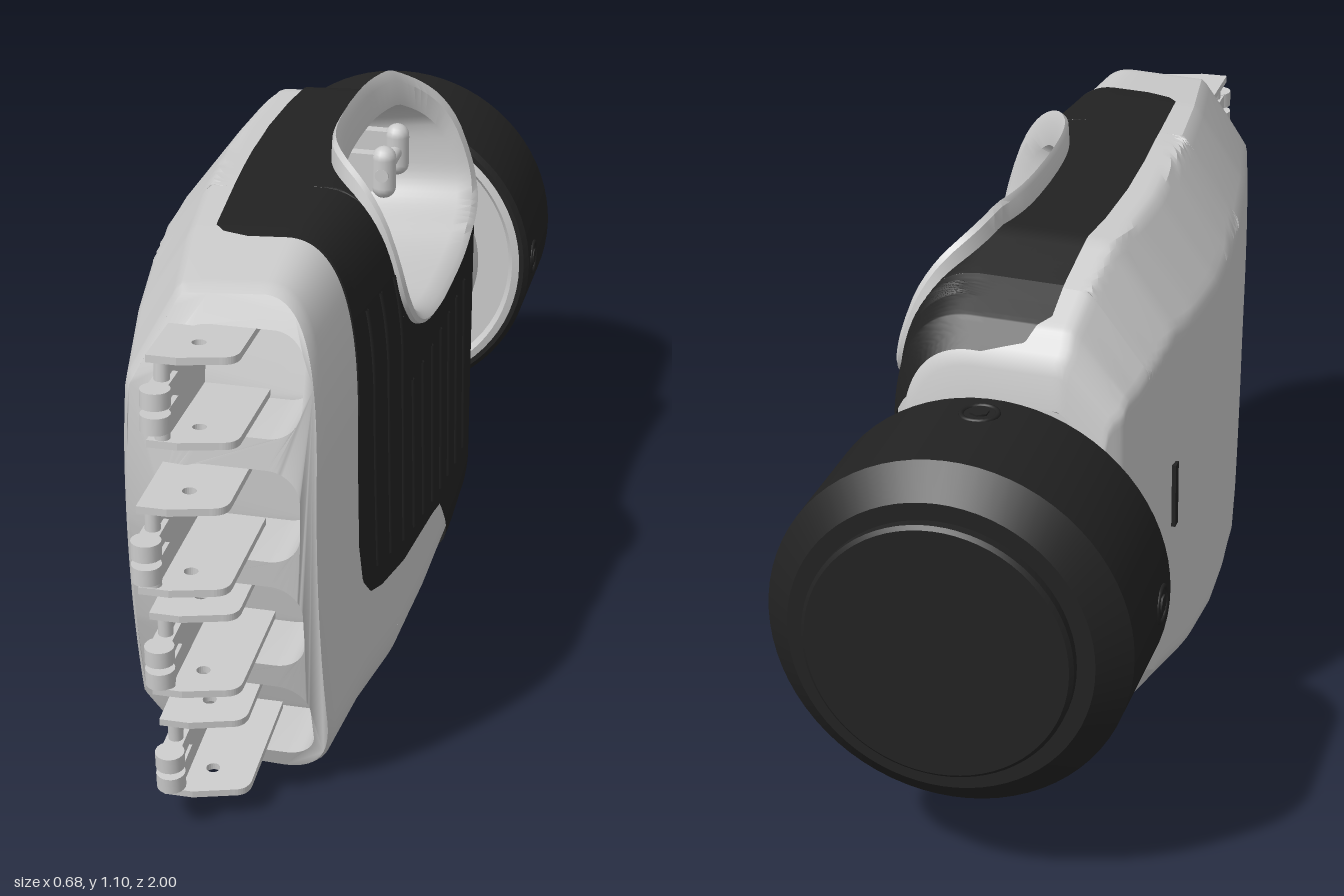
import * as THREE from 'three';
import { toCreasedNormals } from 'three/addons/utils/BufferGeometryUtils.js';

const grey = new THREE.MeshStandardMaterial({ color: 0xcccccc, side: THREE.DoubleSide });
const black = new THREE.MeshStandardMaterial({ color: 0x222222, side: THREE.DoubleSide });
const V = (x, y, z) => new THREE.Vector3(x, y, z);
const lerp = THREE.MathUtils.lerp;

// Piecewise interpolation of [z, value] pairs, z falling
function table(rows) {
  return z => {
    let i = 0;
    while (i < rows.length - 2 && z < rows[i + 1][0]) i++;
    const [a, va] = rows[i], [b, vb] = rows[i + 1];
    return lerp(va, vb, THREE.MathUtils.clamp((z - a) / (b - a), 0, 1));
  };
}

// Surface from a function of two parameters in 0..1
function grid(fn, nu, nv, crease = 0.6) {
  const pos = [], idx = [];
  for (let j = 0; j <= nv; j++) for (let i = 0; i <= nu; i++) pos.push(...fn(i / nu, j / nv).toArray());
  for (let j = 0; j < nv; j++) for (let i = 0; i < nu; i++) {
    const a = j * (nu + 1) + i, b = a + 1, c = a + nu + 1, d = c + 1;
    idx.push(a, b, d, a, d, c);
  }
  const g = new THREE.BufferGeometry();
  g.setAttribute('position', new THREE.Float32BufferAttribute(pos, 3));
  g.setIndex(idx);
  return toCreasedNormals(g, crease);
}

function add(parent, name, geo, mat = grey, x = 0, y = 0, z = 0) {
  const m = new THREE.Mesh(geo, mat);
  m.name = name;
  m.position.set(x, y, z);
  parent.add(m);
  return m;
}

// Palm cross-section: rounded on the palm side (+x), chamfered on the back (-x)
const section = new THREE.Shape();
section.moveTo(0.25, 0.16).lineTo(0.25, 0.75).quadraticCurveTo(0.24, 1.05, 0.08, 1.05)
  .lineTo(-0.15, 1.04).lineTo(-0.275, 0.87).lineTo(-0.275, 0.17).lineTo(-0.15, 0.01)
  .lineTo(0.1, 0).quadraticCurveTo(0.25, 0, 0.25, 0.16);
const LEN = section.getLength(), N = 700, ring = section.getSpacedPoints(N);
function sectionAt(s) {
  const t = (((s / LEN) % 1) + 1) % 1 * N, i = Math.floor(t) % N;
  return ring[i].clone().lerp(ring[i + 1], t - Math.floor(t));
}
const X0 = table([[0.78, -0.15], [0.765, -0.16], [0.5, -0.212], [0.25, -0.25], [0.1, -0.267], [-0.05, -0.275], [-0.2, -0.268], [-0.4, -0.238], [-0.52, -0.21], [-0.55, -0.18]]);
const X1 = table([[0.78, 0.195], [0.765, 0.2], [0.5, 0.215], [0.25, 0.243], [0, 0.25], [-0.4, 0.25], [-0.5, 0.23], [-0.54, 0.2], [-0.55, 0.17]]);
const Y0 = table([[0.78, 0.022], [0.765, 0.015], [0, 0.003], [-0.25, 0.005], [-0.38, 0.03], [-0.46, 0.08], [-0.52, 0.2], [-0.55, 0.3]]);
const Y1 = table([[0.78, 1.028], [0.765, 1.035], [0.5, 1.05], [0.2, 1.055], [-0.3, 1.04], [-0.42, 0.99], [-0.5, 0.94], [-0.54, 0.88], [-0.55, 0.8]]);
const frontZ = y => 0.78 - (y < 0.68 ? 0.345 : 0.7) * (y - 0.68) ** 2;

// Point on the palm skin: w runs along z, s around the section
function skin(w, s, off = 0) {
  const p = sectionAt(s), t = sectionAt(s + 0.005).sub(sectionAt(s - 0.005)).normalize();
  const x = lerp(X0(w), X1(w), (p.x + 0.275) / 0.525), y = lerp(Y0(w), Y1(w), p.y / 1.05);
  const z = w > 0.27 ? 0.27 + (w - 0.27) * (frontZ(y) - 0.27) / 0.51 : w;
  return V(x + t.y * off, y - t.x * off, z);
}

// Thumb opening, a squarish oval on the skin
const HZ = -0.075, HS = 0.78, RZ = 0.345, RS = 0.21, P = 2.857;
const halfHole = z => RS * Math.max(0, 1 - Math.abs((z - HZ) / RZ) ** P) ** (1 / P);
const pw = v => Math.sign(v) * Math.abs(v) ** 0.7;
const line = (a, b) => u => lerp(a, b, u);
const holeZ = u => HZ + RZ * Math.cos(u * Math.PI);
const patch = (zOf, lo, hi, off, nu, nv) =>
  grid((u, v) => { const z = zOf(u); return skin(z, lerp(lo(z), hi(z), v), off); }, nu, nv);

function buildPalm(g) {
  const zero = () => 0, full = () => LEN;
  add(g, 'palmFront', patch(line(0.78, 0.27), zero, full, 0, 24, 160));
  add(g, 'palmMiddle', patch(holeZ, z => HS + halfHole(z), z => LEN + HS - halfHole(z), 0, 40, 140));
  add(g, 'palmRear', patch(line(-0.42, -0.55), zero, full, 0, 16, 160));
  add(g, 'palmRearCap', grid((u, v) => skin(-0.55, u * LEN).lerp(V(0, 0.525, -0.57), v), 100, 1));

  // Dark grip panel with the thumb opening left free
  const lo = table([[0.55, 0.5], [0.545, 0.3], [0.52, 0.2], [0.47, 0.15], [0.4, 0.13], [0, 0.09], [-0.08, 0.07], [-0.14, 0], [-0.2, -0.08], [-0.26, -0.18], [-0.4, -0.2], [-0.43, -0.1], [-0.44, 0.1], [-0.46, 0.45], [-0.535, 0.72]]);
  const hi = table([[0.55, 1.07], [0.53, 1.13], [0.5, 1.15], [-0.48, 1.15], [-0.52, 1.1], [-0.535, 1]]);
  add(g, 'gripFront', patch(line(0.55, 0.27), lo, hi, 0.006, 40, 50), black);
  add(g, 'gripLower', patch(holeZ, lo, z => HS - halfHole(z), 0.006, 50, 40), black);
  add(g, 'gripUpper', patch(holeZ, z => HS + halfHole(z), hi, 0.006, 50, 16), black);
  add(g, 'gripRear', patch(line(-0.42, -0.535), lo, hi, 0.006, 40, 50), black);

  // Fine ribs on the grip
  for (let i = 0; i < 10; i++) {
    const z = 0.46 - i * 0.083, top = z > 0.28 ? 0.74 : 0.49, bottom = 0.19 - i * 0.013;
    const pts = [];
    for (let k = 0; k <= 8; k++) pts.push(skin(z - k * 0.004, lerp(top, bottom, k / 8), 0.005));
    add(g, 'gripRib', new THREE.TubeGeometry(new THREE.CatmullRomCurve3(pts), 16, 0.006, 6), black);
  }

  // Flared collar and cavity of the thumb opening
  const collar = (k, off, lift) => (c, s) => {
    const p = skin(HZ + RZ * k * c, HS + RS * k * s, off);
    p.y += lift * Math.max(0, s);
    return p;
  };
  const levels = [collar(1.05, 0.003, 0), collar(1.04, 0.014, 0.03), collar(1.01, 0.018, 0.036), collar(0.96, 0.008, 0.025),
    collar(0.92, -0.02, 0), (c, s) => V(0, 0.88 + 0.14 * s, HZ + 0.3 * c), () => V(0, 0.88, HZ)];
  add(g, 'thumbSocket', grid((u, v) => {
    const a = u * Math.PI * 2;
    return levels[Math.round(v * 6)](pw(Math.cos(a)), pw(Math.sin(a)));
  }, 72, 6));
  for (const z of [-0.22, -0.35]) {
    add(g, 'thumbLug', new THREE.CapsuleGeometry(0.025, 0.06, 6, 14), grey, 0.1, 0.9, z);
    add(g, 'thumbLugArm', new THREE.BoxGeometry(0.12, 0.08, 0.025), grey, 0.04, 0.9, z);
  }
  add(g, 'thumbPin', new THREE.CylinderGeometry(0.014, 0.014, 0.18, 16).rotateX(Math.PI / 2), grey, 0.1, 0.9, -0.285);
  add(g, 'backSlot', new THREE.BoxGeometry(0.008, 0.13, 0.022), black, -0.256, 0.53, -0.3);
}

// Curved knuckle face with four pockets
const fingerY = [0.155, 0.395, 0.635, 0.88];
function buildFront(g) {
  const bend = (geo, back = 0) => {
    const p = geo.attributes.position;
    for (let i = 0; i < p.count; i++) p.setZ(i, frontZ(p.getY(i)) - back);
    geo.computeVertexNormals();
    return geo;
  };
  const edge = [];
  for (let i = 0; i < 160; i++) { const p = skin(0.78, i / 160 * LEN); edge.push(new THREE.Vector2(p.x, p.y)); }
  const face = new THREE.Shape(edge);
  for (const y of fingerY) {
    const l = -0.09, r = 0.165, h = 0.093, a = 0.08, b = 0.06, q = Math.PI / 2;
    const pocket = new THREE.Path();
    pocket.absarc(r - b, y - h + b, b, -q, 0).absarc(r - b, y + h - b, b, 0, q)
      .absarc(l + a, y + h - a, a, q, 2 * q).absarc(l + a, y - h + a, a, 2 * q, 3 * q).closePath();
    const pts = pocket.getPoints(8), n = pts.length - 1;
    face.holes.push(pocket);
    add(g, 'pocketWall', grid((u, v) => {
      const p = pts[Math.round(u * n)];
      return V(p.x, p.y, frontZ(p.y) - 0.16 * v);
    }, n, 1));
    add(g, 'pocketFloor', bend(new THREE.ShapeGeometry(new THREE.Shape(pts)), 0.16));
  }
  add(g, 'knuckleFace', bend(new THREE.ShapeGeometry(face, 8)));
}

// Hinge bracket that carries a finger
function buildFinger(y, z, tilt) {
  const f = new THREE.Group();
  f.name = 'fingerBracket';
  const s = new THREE.Shape();
  s.moveTo(-0.085, -0.13).lineTo(0.07, -0.13).lineTo(0.07, 0.11).quadraticCurveTo(0.07, 0.14, 0.04, 0.145)
    .lineTo(-0.03, 0.165).lineTo(-0.085, 0.165).closePath();
  s.holes.push(new THREE.Path().absarc(-0.01, 0.09, 0.013, 0, Math.PI * 2));
  const plate = new THREE.ExtrudeGeometry(s, { depth: 0.014, bevelEnabled: false, curveSegments: 10 }).rotateX(Math.PI / 2);
  for (const side of [-1, 1]) {
    add(f, 'bracketPlate', plate, grey, 0, side * 0.08 + 0.007, 0);
    add(f, 'knuckleBarrel', new THREE.CylinderGeometry(0.027, 0.027, 0.032, 20), grey, -0.06, side * 0.023, 0.193);
    add(f, 'knuckleLug', new THREE.BoxGeometry(0.036, 0.03, 0.08), grey, -0.06, side * 0.023, 0.15);
  }
  add(f, 'bracketWeb', new THREE.BoxGeometry(0.016, 0.15, 0.26), grey, -0.06, 0, 0);
  add(f, 'hingePin', new THREE.CylinderGeometry(0.014, 0.014, 0.16, 14), grey, -0.06, 0, 0.15);
  f.position.set(0, y, z);
  f.rotation.x = tilt;
  return f;
}

function buildWrist(g) {
  const w = new THREE.Group();
  w.name = 'wrist';
  w.position.y = 0.525;
  g.add(w);
  const lathe = pts => toCreasedNormals(new THREE.LatheGeometry(pts.map(([r, z]) => new THREE.Vector2(r, z)), 72).rotateX(Math.PI / 2), 0.4);
  add(w, 'neck', lathe([[0.18, -0.67], [0.222, -0.67], [0.222, -0.6], [0.216, -0.595], [0.216, -0.54], [0, -0.53]]));
  add(w, 'wristCuff', lathe([[0, -1], [0.24, -1], [0.247, -0.993], [0.247, -0.975], [0.28, -0.975], [0.335, -0.92], [0.335, -0.66], [0.325, -0.65], [0.31, -0.65]]), black);
  add(w, 'cuffFace', lathe([[0.315, -0.65], [0.3, -0.645], [0.29, -0.66], [0.2, -0.66]]));
  // Screw recesses around the cuff
  for (let i = 0; i < 4; i++) {
    const h = new THREE.Group();
    h.name = 'cuffScrew';
    add(h, 'screwRim', new THREE.TorusGeometry(0.033, 0.005, 8, 24).rotateX(Math.PI / 2), black, 0, 0.333, -0.72);
    add(h, 'screwHead', new THREE.CylinderGeometry(0.018, 0.018, 0.01, 6), black, 0, 0.333, -0.72);
    h.rotation.z = i * Math.PI / 2;
    w.add(h);
  }
}

export function createModel() {
  const g = new THREE.Group();
  g.name = 'mechanicalHand';
  buildPalm(g);
  buildFront(g);
  const z = [0.665, 0.715, 0.78, 0.705], tilt = [0.1, 0.04, 0, -0.04];
  fingerY.forEach((y, i) => g.add(buildFinger(y, z[i], tilt[i])));
  buildWrist(g);
  return g;
}
